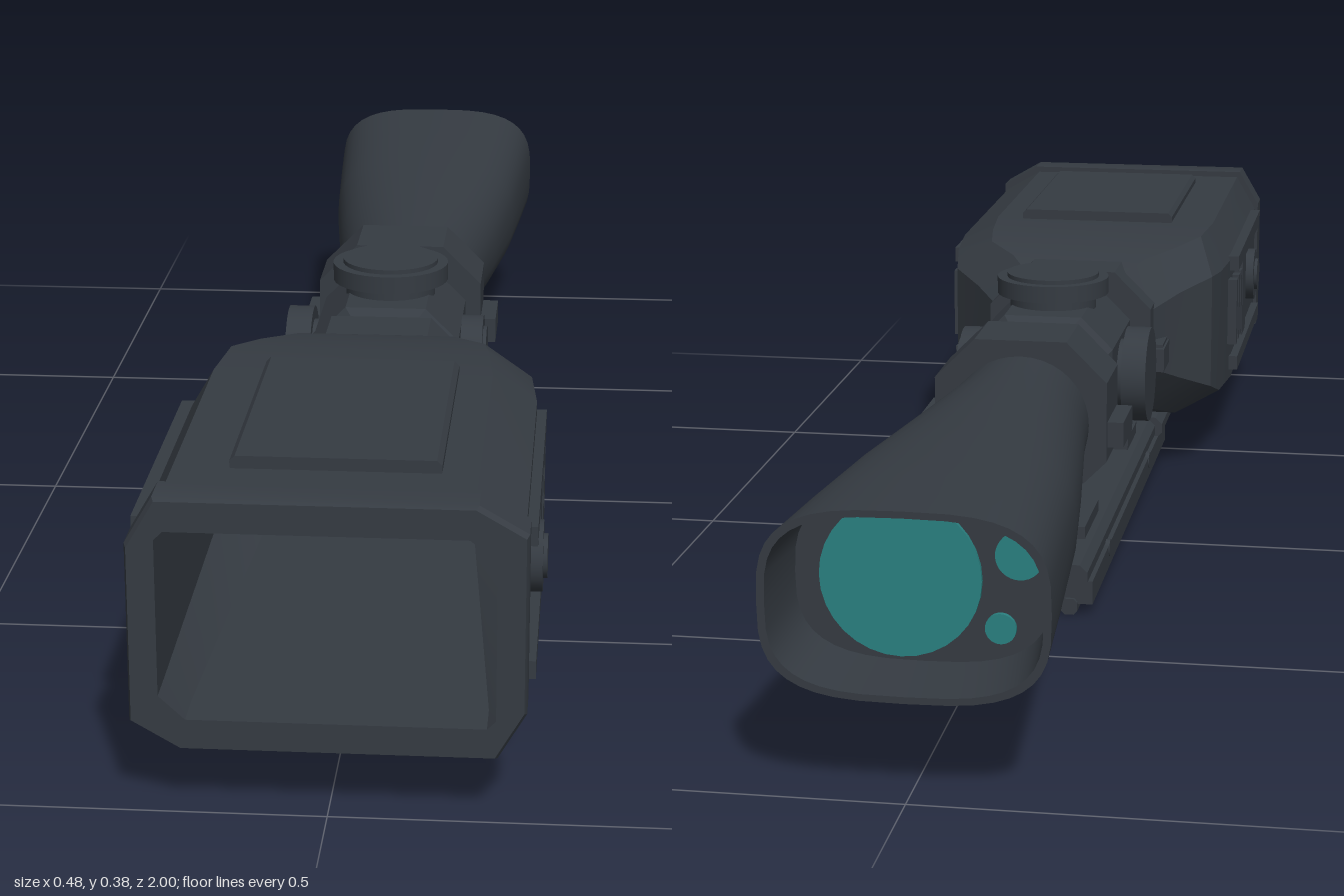
import * as THREE from 'three';
import { toCreasedNormals } from 'three/addons/utils/BufferGeometryUtils.js';

const body = new THREE.MeshStandardMaterial({ color: 0x353b42 });
body.name = 'charcoal';
const glass = new THREE.MeshStandardMaterial({ color: 0x2a8080 });
glass.name = 'teal glass';

// Chamfered rectangle; a = top right and bottom left cut, b = the other two
function oct(z, y, hw, hh, a, b = a) {
  return [[hw, -hh + b[1]], [hw, hh - a[1]], [hw - a[0], hh], [-hw + b[0], hh],
    [-hw, hh - b[1]], [-hw, -hh + a[1]], [-hw + a[0], -hh], [hw - b[0], -hh]]
    .map(([px, py]) => [px, py + y, z]);
}

// Rounded section: n = 2 is an ellipse, higher is squarer
function rounded(z, y, hw, hh, n) {
  return Array.from({ length: 40 }, (_, i) => {
    const t = (i / 40) * Math.PI * 2, c = Math.cos(t), s = Math.sin(t);
    return [hw * Math.sign(c) * Math.abs(c) ** (2 / n), y + hh * Math.sign(s) * Math.abs(s) ** (2 / n), z];
  });
}

// Section shrunk to its centre, used as a cap
function cap(section) {
  const c = [0, 1, 2].map((k) => section.reduce((s, p) => s + p[k], 0) / section.length);
  return section.map(() => c);
}

function loft(sections, crease = 0.4) {
  const n = sections[0].length, index = [];
  for (let i = 0; i < sections.length - 1; i++) {
    for (let j = 0; j < n; j++) {
      const a = i * n + j, b = i * n + (j + 1) % n;
      index.push(a, b, a + n, b, b + n, a + n);
    }
  }
  const g = new THREE.BufferGeometry();
  g.setAttribute('position', new THREE.Float32BufferAttribute(sections.flat(2), 3));
  g.setIndex(index);
  return toCreasedNormals(g, crease);
}

const solid = (sections) => loft([cap(sections[0]), ...sections, cap(sections.at(-1))]);

export function createModel() {
  const model = new THREE.Group();
  model.name = 'rifleScope';

  const add = (name, geometry, material = body) => {
    const m = new THREE.Mesh(geometry, material);
    m.name = name;
    model.add(m);
    return m;
  };
  // Box given by its limits
  const box = (name, x0, x1, y0, y1, z0, z1) =>
    add(name, new THREE.BoxGeometry(x1 - x0, y1 - y0, z1 - z0))
      .position.set((x0 + x1) / 2, (y0 + y1) / 2, (z0 + z1) / 2);
  const cyl = (name, axis, r, len, x, y, z, material) => {
    const g = new THREE.CylinderGeometry(r, r, len, 32);
    if (axis === 'x') g.rotateZ(-Math.PI / 2);
    if (axis === 'z') g.rotateX(Math.PI / 2);
    add(name, g, material).position.set(x, y, z);
  };

  // Hollow front housing with bezel
  const A = [0.055, 0.032], B = [0.032, 0.055], Y = 0.226;
  const back = oct(0.3, Y, 0.121, 0.108, [0.055, 0.055]);
  add('housing', loft([
    oct(0.27, Y + 0.01, 0.122, 0.097, [0.05, 0.05]),
    oct(0.32, Y + 0.006, 0.157, 0.117, [0.055, 0.05]),
    oct(0.375, Y, 0.2, 0.132, [0.055, 0.045]),
    oct(0.43, Y, 0.208, 0.139, A, B),
    oct(0.53, Y, 0.217, 0.141, A, B),
    oct(0.945, Y, 0.217, 0.141, A, B),
    oct(0.945, Y, 0.222, 0.15, A, B),
    oct(0.992, Y, 0.222, 0.15, A, B),
    oct(1, Y, 0.219, 0.147, A, B),
    oct(1, Y, 0.188, 0.112, [0.03, 0.028], [0.01, 0.01]),
    oct(0.95, Y, 0.188, 0.112, [0.03, 0.028], [0.01, 0.01]),
    oct(0.45, Y, 0.188, 0.112, [0.05, 0.04]),
    back, cap(back),
  ]));
  cyl('innerLens', 'z', 0.097, 0.02, 0, Y, 0.3);

  // Raised top panel
  add('topPanel', solid([
    oct(0.52, 0.372, 0.12, 0.01, [0.006, 0.006]),
    oct(0.875, 0.372, 0.12, 0.01, [0.006, 0.006]),
  ]));

  // Side details, mirrored
  for (const s of [-1, 1]) {
    const plate = (name, out, y0, y1, z0, z1) =>
      box(name, Math.min(s * 0.2, s * out), Math.max(s * 0.2, s * out), y0, y1, z0, z1);
    plate('upperSideStrip', 0.229, 0.295, 0.318, 0.51, 0.905);
    plate('lowerSideStrip', 0.229, 0.133, 0.155, 0.51, 0.905);
    plate('sidePad', 0.227, 0.167, 0.293, 0.61, 0.665);
    for (let i = 0; i < 3; i++) plate('ventSlat', 0.228, 0.178, 0.283, 0.495 + i * 0.037, 0.515 + i * 0.037);
    cyl('sideButton', 'x', 0.042, 0.03, s * 0.218, 0.233, 0.78);
    cyl('sideButtonCap', 'x', 0.026, 0.01, s * 0.233, 0.233, 0.78);
    box('innerLug', s * 0.13 - 0.013, s * 0.13 + 0.013, 0.195, 0.23, 0.23, 0.34);
  }

  // Main tube and turret block
  cyl('mainTube', 'z', 0.088, 0.55, 0, 0.235, 0.03);
  add('turretBlock', solid([
    oct(-0.05, 0.236, 0.088, 0.088, [0.045, 0.045]),
    oct(-0.03, 0.236, 0.1, 0.1, [0.045, 0.045]),
    oct(0.16, 0.236, 0.1, 0.1, [0.045, 0.045]),
    oct(0.18, 0.236, 0.088, 0.088, [0.045, 0.045]),
  ]));
  cyl('topTurretNeck', 'y', 0.062, 0.04, 0, 0.34, 0.065);
  cyl('topTurret', 'y', 0.08, 0.024, 0, 0.363, 0.065);
  cyl('topTurretCap', 'y', 0.066, 0.01, 0, 0.376, 0.065);
  cyl('rightTurret', 'x', 0.068, 0.035, -0.126, 0.235, 0.06);
  cyl('rightTurretNeck', 'x', 0.05, 0.06, -0.09, 0.235, 0.06);
  cyl('leftTurret', 'x', 0.06, 0.03, 0.115, 0.235, 0.06);
  cyl('leftTurretCap', 'x', 0.045, 0.01, 0.13, 0.235, 0.06);

  // Mount rings with clamp lugs and feet
  for (const [z0, z1, hw] of [[0.232, 0.31, 0.122], [-0.222, -0.112, 0.118]]) {
    add('mountRing', solid([
      oct(z0, 0.236, hw, 0.11, [0.055, 0.055]),
      oct(z1, 0.236, hw, 0.11, [0.055, 0.055]),
    ]));
    for (const s of [-1, 1]) {
      box('ringLug', s * 0.125 - 0.015, s * 0.125 + 0.015, 0.2, 0.235, z0 + 0.008, z1 - 0.008);
    }
    box('ringFoot', -0.065, 0.065, 0.06, 0.14, z0 - 0.002, z1 + 0.01);
    box('ringFootBase', -0.09, 0.09, 0.065, 0.09, z0 - 0.008, z1 + 0.016);
  }

  // Rail, jaws and front foot
  add('railTop', solid([
    oct(-0.345, 0.056, 0.11, 0.017, [0.01, 0.01]),
    oct(0.5, 0.056, 0.11, 0.017, [0.01, 0.01]),
  ]));
  box('railBase', -0.115, 0.1, 0.014, 0.046, -0.33, 0.5);
  add('railFront', solid([
    oct(0.405, 0.059, 0.121, 0.017, [0.01, 0.01]),
    oct(0.555, 0.059, 0.121, 0.017, [0.01, 0.01]),
  ]));
  for (const s of [-1, 1]) {
    const jaw = solid([oct(-0.335, 0.011, 0.011, 0.011, [0.005, 0.005]), oct(0.505, 0.011, 0.011, 0.011, [0.005, 0.005])]);
    add('railJaw', jaw).position.x = s * 0.084;
    for (const z of [0.29, -0.16]) cyl('railScrew', 'x', 0.012, 0.02, s * 0.106, 0.04, z);
  }

  // Rear bell: recessed back plate, rim, then outer skin
  const plate = rounded(-0.89, 0.23, 0.148, 0.1, 3);
  add('rearBell', loft([
    cap(plate), plate,
    rounded(-1, 0.23, 0.156, 0.103, 3.2),
    rounded(-1, 0.23, 0.165, 0.111, 3.2),
    rounded(-0.85, 0.23, 0.156, 0.108, 3),
    rounded(-0.68, 0.23, 0.145, 0.104, 2.7),
    rounded(-0.5, 0.23, 0.125, 0.099, 2.4),
    rounded(-0.3, 0.231, 0.1, 0.094, 2.1),
    rounded(-0.2, 0.232, 0.092, 0.092, 2),
  ], 0.5));

  // Rear lenses
  for (const [r, x, y] of [[0.094, 0.025, 0.23], [0.028, -0.112, 0.262], [0.018, -0.09, 0.175]]) {
    cyl('rearLens', 'z', r, 0.008, x, y, -0.892, glass);
  }
  return model;
}
